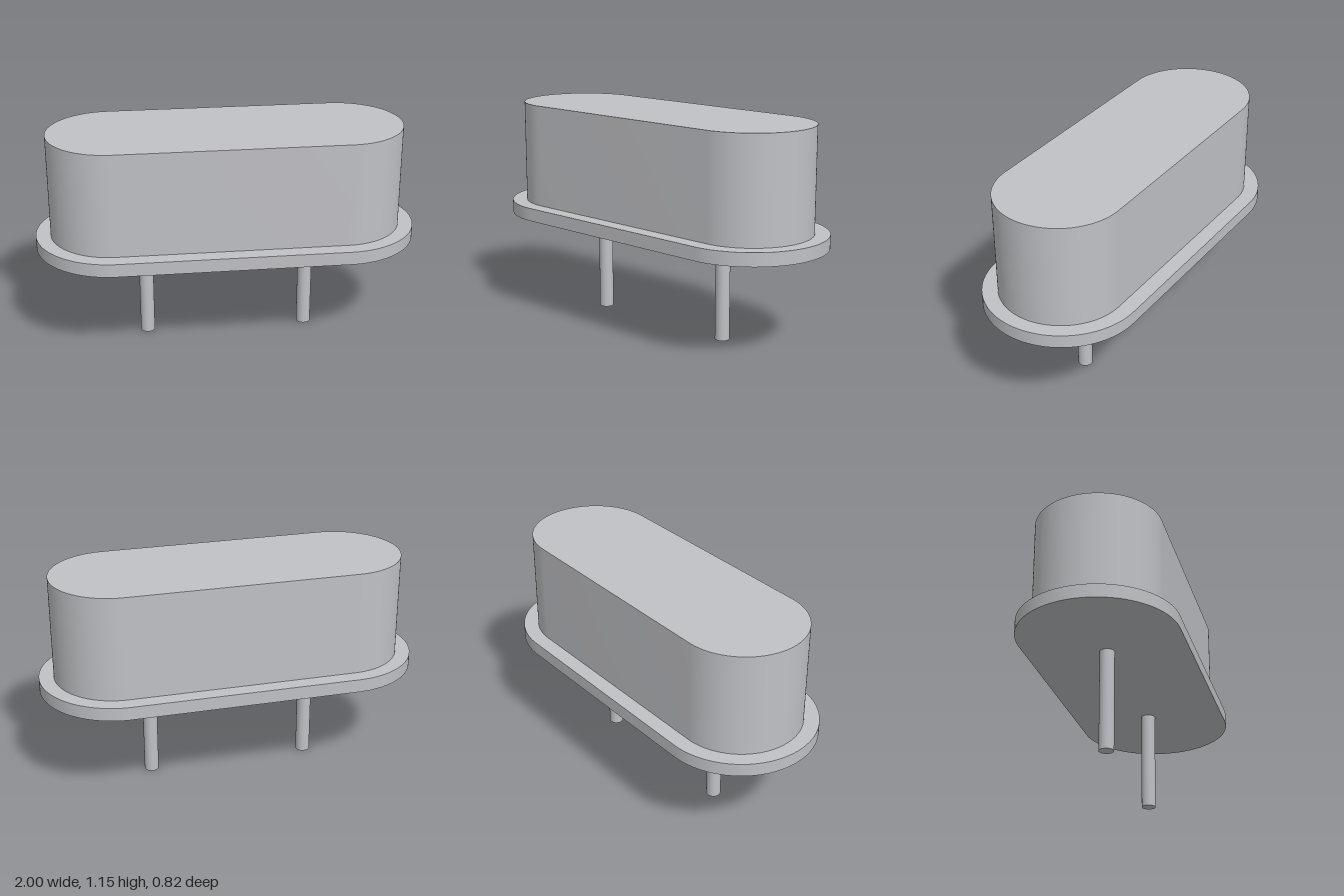
import * as THREE from 'three';
import { toCreasedNormals } from 'three/addons/utils/BufferGeometryUtils.js';

// Upright slab with a stadium outline (two half circles joined by straight sides)
function stadiumSlab(centreX, radius, bottom, top) {
  const shape = new THREE.Shape();
  shape.moveTo(-centreX, -radius);
  shape.lineTo(centreX, -radius);
  shape.absarc(centreX, 0, radius, -Math.PI / 2, Math.PI / 2, false);
  shape.lineTo(-centreX, radius);
  shape.absarc(-centreX, 0, radius, Math.PI / 2, Math.PI * 1.5, false);
  const geometry = new THREE.ExtrudeGeometry(shape, {
    depth: top - bottom, bevelEnabled: false, curveSegments: 32,
  });
  geometry.rotateX(-Math.PI / 2).translate(0, bottom, 0);
  return toCreasedNormals(geometry, 0.6);
}

export function createModel() {
  const model = new THREE.Group();
  model.name = 'crystalCan';
  const metal = new THREE.MeshStandardMaterial({ color: 0xc0c1c5 });
  metal.name = 'silver metal';

  const add = (name, geometry) => {
    const mesh = new THREE.Mesh(geometry, metal);
    mesh.name = name;
    model.add(mesh);
    return mesh;
  };

  // Base flange and the can standing on it
  add('baseFlange', stadiumSlab(0.592, 0.408, 0.53, 0.6));
  add('can', stadiumSlab(0.597, 0.326, 0.6, 1.148));

  // Two round lead pins
  const pinGeometry = new THREE.CylinderGeometry(0.038, 0.038, 0.53, 32);
  for (const [name, side] of [['leftPin', 1], ['rightPin', -1]]) {
    add(name, pinGeometry).position.set(side * 0.43, 0.265, 0);
  }
  return model;
}
